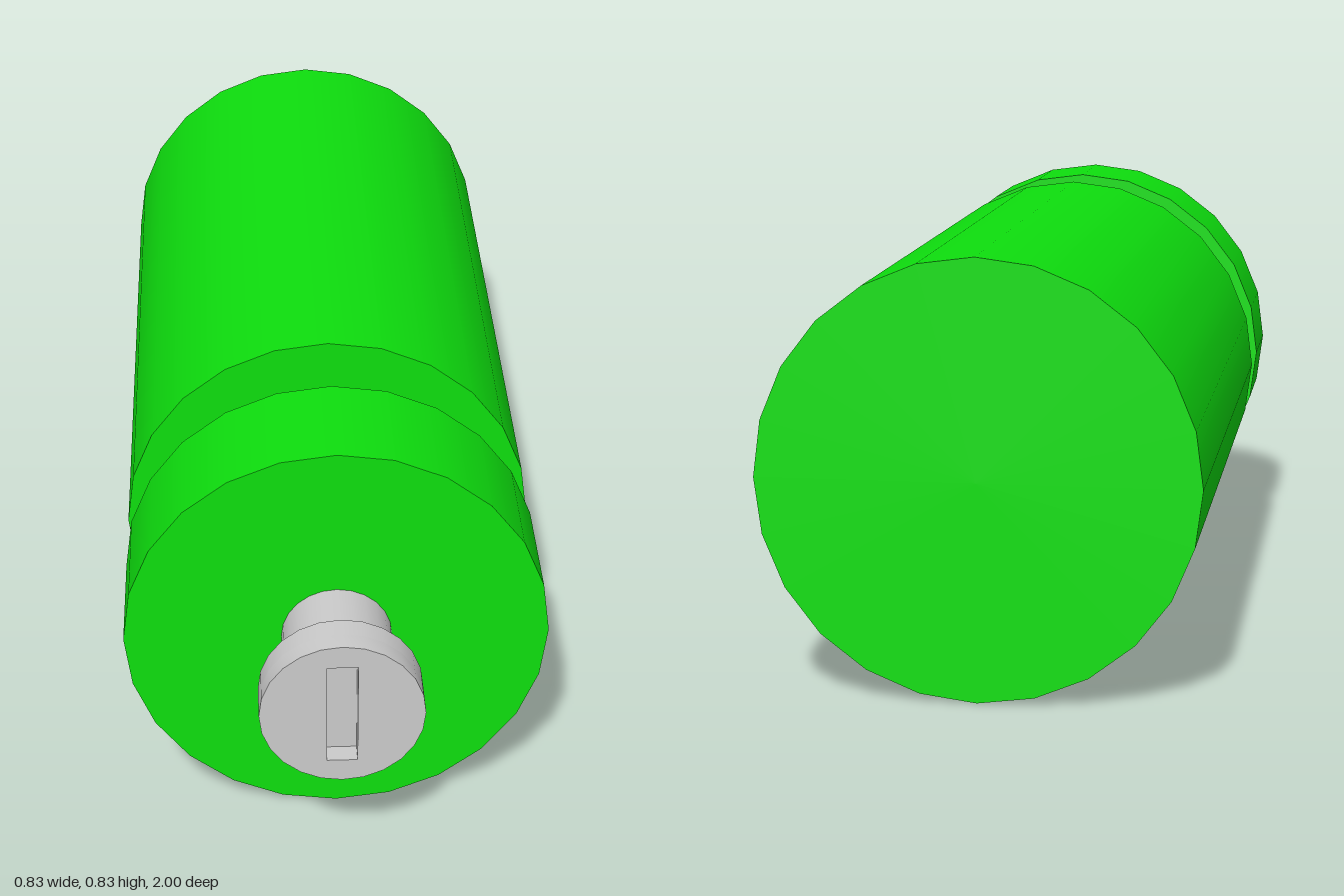
import * as THREE from 'three';
import { toCreasedNormals } from 'three/addons/utils/BufferGeometryUtils.js';

const SIDES = 24;
const AXIS_Y = 0.416; // height of the common axis

export function createModel() {
  const model = new THREE.Group();
  const green = new THREE.MeshStandardMaterial({ color: 0x0ee00e });
  const grey = new THREE.MeshStandardMaterial({ color: 0xcccccc });

  const add = (name, geometry, material, z) => {
    const mesh = new THREE.Mesh(geometry, material);
    mesh.name = name;
    mesh.position.set(0, AXIS_Y, z);
    model.add(mesh);
  };

  // Cylinder lying along z between two depths
  const drum = (name, radius, zBack, zFront, material) => {
    const geometry = new THREE.CylinderGeometry(radius, radius, zFront - zBack, SIDES);
    geometry.rotateX(Math.PI / 2);
    add(name, geometry, material, (zBack + zFront) / 2);
  };

  // Main canister, groove and front collar
  drum('body', 0.416, -1, 0.335, green);
  drum('neck', 0.293, 0.335, 0.5, green);
  drum('collar', 0.416, 0.5, 0.75, green);

  // Stem and the solid back of the knob
  drum('stem', 0.108, 0.75, 0.915, grey);
  drum('knobBase', 0.157, 0.915, 0.96, grey);

  // Knob face with a slot cut through to the base
  const face = new THREE.Shape().absarc(0, 0, 0.157, 0, Math.PI * 2, false);
  const [w, h] = [0.029, 0.109];
  face.holes.push(new THREE.Path([
    new THREE.Vector2(-w, -h), new THREE.Vector2(-w, h),
    new THREE.Vector2(w, h), new THREE.Vector2(w, -h),
  ]));
  const faceGeometry = new THREE.ExtrudeGeometry(face, {
    depth: 0.04, bevelEnabled: false, curveSegments: SIDES / 2,
  });
  add('slottedKnobFace', toCreasedNormals(faceGeometry, 0.6), grey, 0.96);

  return model;
}
